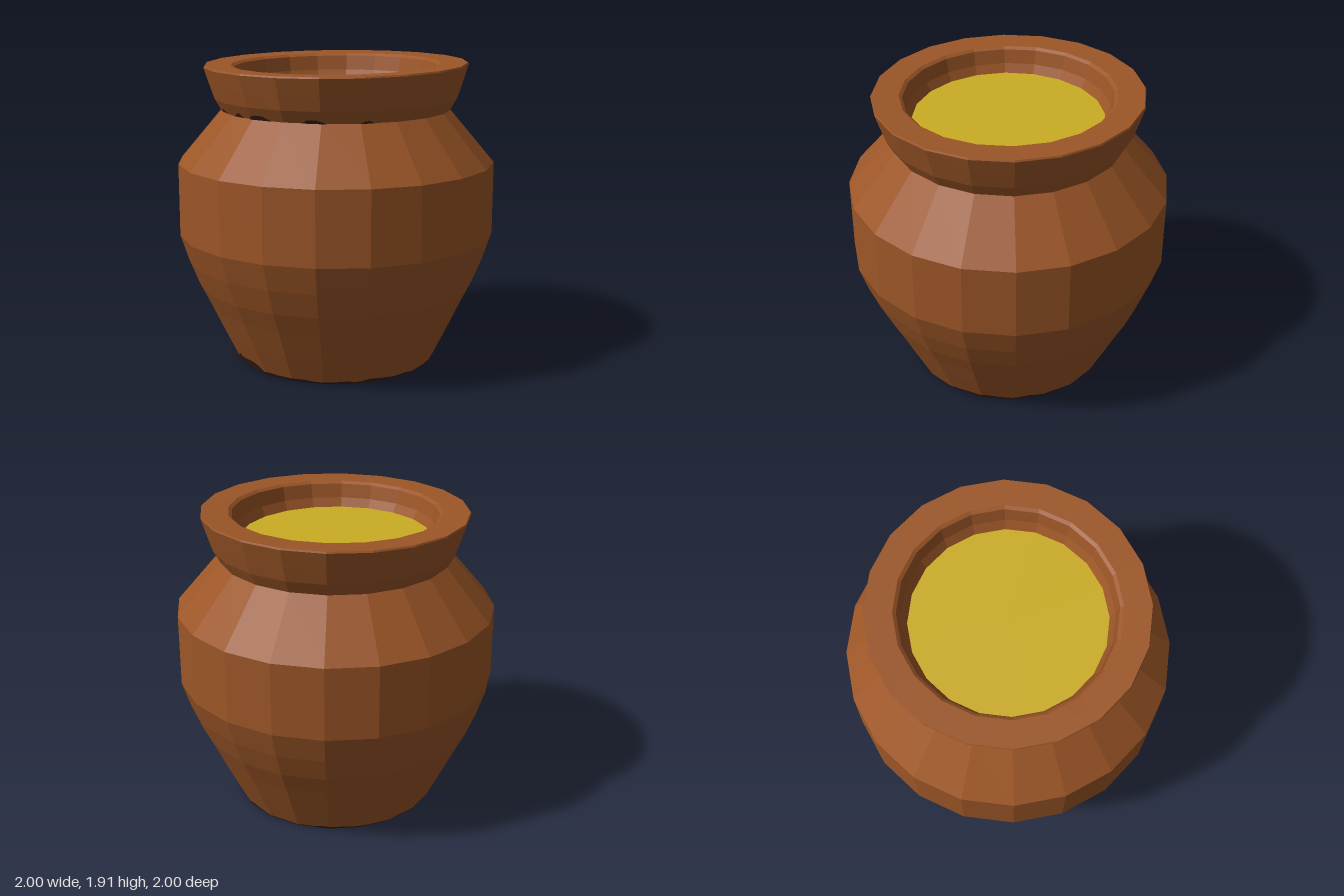
import * as THREE from 'three';

const SIDES = 20;
const clay = new THREE.MeshStandardMaterial({ color: 0x9c5627 });
clay.name = 'clay brown';
const soot = new THREE.MeshStandardMaterial({ color: 0x3a201c });
soot.name = 'soot dark brown';
const honey = new THREE.MeshStandardMaterial({ color: 0xcbac24 });
honey.name = 'honey yellow';

// Flat facets come from unshared vertices
function faceted(geometry) {
  const g = geometry.toNonIndexed();
  g.computeVertexNormals();
  return g;
}

// Turned part from [radius, height] pairs; tilt leans it gently forward above the neck
function turned(name, profile, material, tilt = false) {
  const points = profile.map(([r, y]) => new THREE.Vector2(r, y));
  const g = new THREE.LatheGeometry(points, SIDES);
  if (tilt) lean(g);
  const mesh = new THREE.Mesh(faceted(g), material);
  mesh.name = name;
  return mesh;
}

function lean(g) {
  const p = g.attributes.position;
  for (let i = 0; i < p.count; i++) {
    const amount = THREE.MathUtils.clamp((p.getY(i) - 1.61) / 0.29, 0, 1);
    p.setY(i, p.getY(i) - p.getZ(i) * 0.014 * amount);
  }
}

// Thin ragged stain hugging the faceted wall, its height set by a rule of the angle
function raggedStain(name, y0, r0, slope, height) {
  const g = new THREE.CylinderGeometry(1, 1, 1, 160, 1, true);
  const p = g.attributes.position;
  const step = (Math.PI * 2) / SIDES;
  for (let i = 0; i < p.count; i++) {
    const a = Math.atan2(p.getX(i), p.getZ(i));
    const h = p.getY(i) > 0 ? height(a) : 0;
    const local = THREE.MathUtils.euclideanModulo(a, step) - step / 2;
    const r = ((r0 + slope * h) * Math.cos(step / 2)) / Math.cos(local) + 0.003;
    p.setXYZ(i, r * Math.sin(a), y0 + h, r * Math.cos(a));
  }
  const mesh = new THREE.Mesh(faceted(g), soot);
  mesh.name = name;
  return mesh;
}

const bump = (a, centre, width) => Math.max(0, 1 - ((a - centre) / width) ** 4);
const ripple = (a) => Math.sin(a * 7) * 0.5 + Math.sin(a * 17 + 1) * 0.3 + Math.sin(a * 31) * 0.2;

export function createModel() {
  const pot = new THREE.Group();
  pot.name = 'clayPot';

  // Belly and shoulder
  pot.add(turned('body', [
    [0.645, 0.015], [0.73, 0.19], [0.815, 0.37], [0.88, 0.5],
    [0.945, 0.66], [1, 0.83], [1, 1.285], [0.72, 1.615],
  ], clay));

  // Flared neck, flat lip and inner wall
  pot.add(turned('rim', [
    [0.72, 1.61], [0.765, 1.69], [0.795, 1.78], [0.83, 1.89], [0.825, 1.9],
    [0.66, 1.895], [0.64, 1.88], [0.62, 1.79], [0.585, 1.72],
  ], clay, true));

  // Filling
  pot.add(turned('honeySurface', [[0.6, 1.73], [0, 1.73]], honey));

  // Underside and scorched foot
  pot.add(turned('base', [[0, 0], [0.63, 0], [0.645, 0.015]], soot));
  pot.add(raggedStain('footStain', 0.015, 0.645, 0.48, (a) =>
    Math.max(0, 0.006 + 0.01 * ripple(a)) +
    0.055 * bump(a, -0.28, 0.27) + 0.02 * bump(a, 2.4, 0.6)));

  // Dark chips in the crease of the neck
  pot.add(raggedStain('neckChips', 1.612, 0.722, 0.56, (a) =>
    0.022 * bump(a, -0.5, 0.08) + 0.025 * bump(a, -0.18, 0.06) +
    0.028 * bump(a, 0.07, 0.1) + 0.022 * bump(a, 0.56, 0.09) +
    0.016 * bump(a, 1.0, 0.06)));

  return pot;
}
